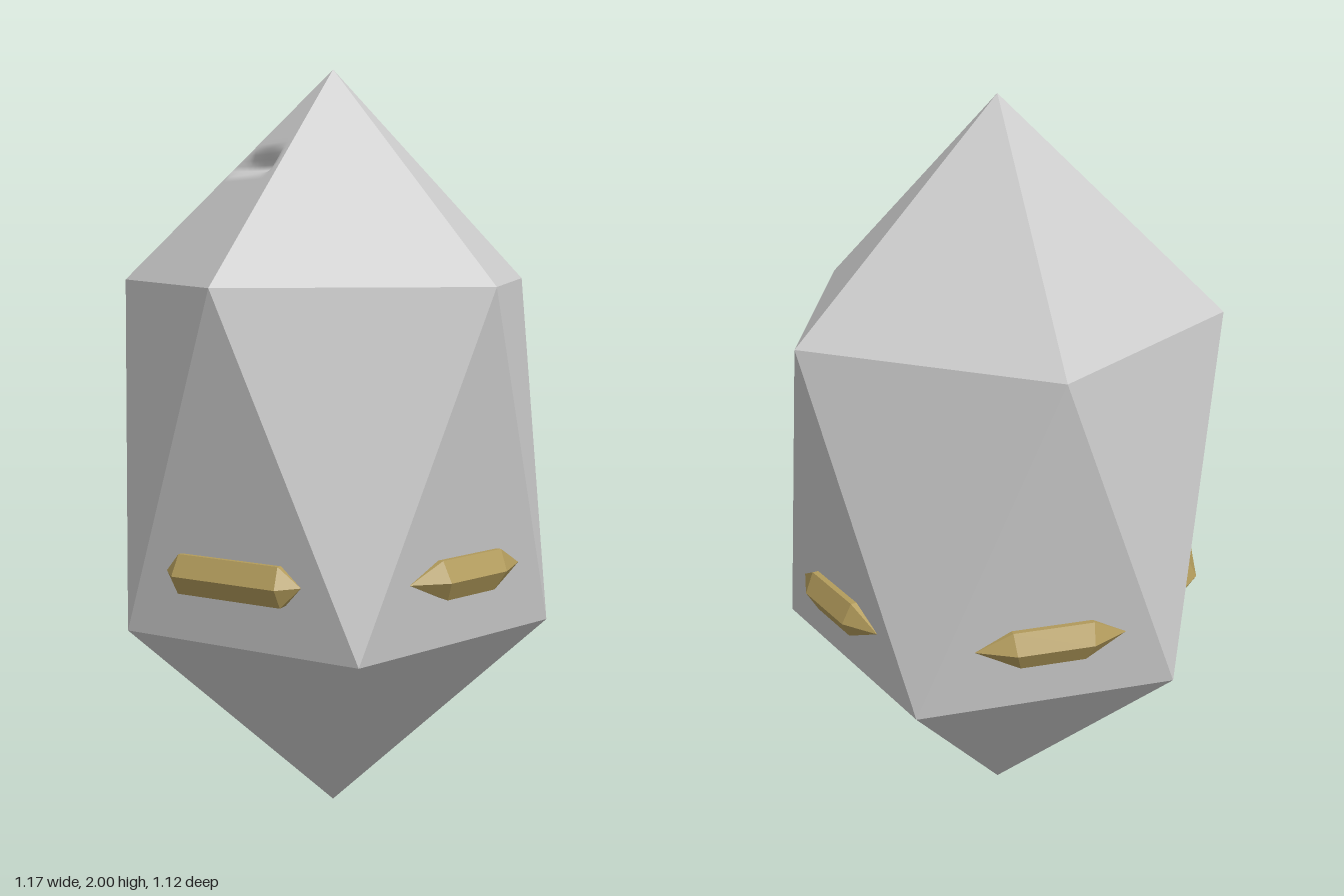
import * as THREE from 'three';
import { ConvexGeometry } from 'three/addons/geometries/ConvexGeometry.js';

const R = 0.583, TOP = 1.45, LOW = 0.555, STEP = Math.PI * 2 / 5;
const ringPoint = (angle, y) => new THREE.Vector3(R * Math.cos(angle), y, R * Math.sin(angle));

// Stretched icosahedron: two staggered pentagons and two tips, without the notched face
function shellGeometry() {
  const tip = new THREE.Vector3(0, 2, 0), foot = new THREE.Vector3(0, 0.005, 0);
  const points = [];
  const face = (a, b, c) => {
    const normal = b.clone().sub(a).cross(c.clone().sub(a));
    const out = a.clone().add(b).add(c).divideScalar(3).sub(new THREE.Vector3(0, 1, 0));
    points.push(...(normal.dot(out) > 0 ? [a, b, c] : [a, c, b]));
  };
  for (let i = 0; i < 5; i++) {
    const a = i * STEP;
    const u0 = ringPoint(a, TOP), u1 = ringPoint(a + STEP, TOP);
    const l0 = ringPoint(a - STEP / 2, LOW), l1 = ringPoint(a + STEP / 2, LOW);
    if (i !== 1) face(tip, u0, u1);
    face(u0, l0, l1);
    face(u0, u1, l1);
    face(l0, l1, foot);
  }
  const geometry = new THREE.BufferGeometry().setFromPoints(points);
  geometry.computeVertexNormals();
  return geometry;
}

// Upper front face, smoothly sunk inward above a sharp horizontal lip
function notchedFaceGeometry() {
  const rows = 40, lipRow = 20, depth = 0.06;
  const tip = new THREE.Vector3(0, 2, 0);
  const left = ringPoint(2 * STEP, TOP), right = ringPoint(STEP, TOP);
  const inward = new THREE.Vector3(-Math.cos(1.5 * STEP), 0, -Math.sin(1.5 * STEP));
  const points = [], index = [];
  for (let i = 0; i <= rows; i++) {
    const a = tip.clone().lerp(left, i / rows), b = tip.clone().lerp(right, i / rows);
    for (let j = 0; j <= i; j++) {
      const u = i ? j / i : 0;
      const p = a.clone().lerp(b, u);
      if (i < lipRow) {
        const across = Math.pow(Math.sin(Math.PI * Math.min(u / 0.86, 1)), 0.6) || 0;
        p.addScaledVector(inward, depth * across * THREE.MathUtils.smoothstep(i, 14.5, 19));
      }
      points.push(p);
    }
  }
  const id = (i, j) => i * (i + 1) / 2 + j;
  for (let i = 0; i < rows; i++) {
    for (let j = 0; j <= i; j++) {
      index.push(id(i, j), id(i + 1, j), id(i + 1, j + 1));
      if (j < i) index.push(id(i, j), id(i + 1, j + 1), id(i, j + 1));
    }
  }
  const geometry = new THREE.BufferGeometry().setFromPoints(points);
  geometry.setIndex(index);
  geometry.computeVertexNormals();
  return geometry;
}

// Faceted shard lying along z, bulging towards +x
function shardGeometry(topHalf, bottomHalf, ridgeHalf) {
  const points = [];
  for (const s of [-1, 1]) {
    points.push(
      new THREE.Vector3(0.495, 0.737, s * 0.197),
      new THREE.Vector3(0.542, 0.735, s * ridgeHalf),
      new THREE.Vector3(0.517, 0.788, s * topHalf),
      new THREE.Vector3(0.48, 0.785, s * topHalf),
      new THREE.Vector3(0.515, 0.686, s * bottomHalf),
      new THREE.Vector3(0.47, 0.688, s * bottomHalf)
    );
  }
  return new ConvexGeometry(points);
}

export function createModel() {
  const model = new THREE.Group();
  model.name = 'crystalLantern';
  const stone = new THREE.MeshStandardMaterial({ color: 0xcccccc, flatShading: true });
  const smoothStone = new THREE.MeshStandardMaterial({ color: 0xcccccc, side: THREE.DoubleSide });
  const gold = new THREE.MeshStandardMaterial({ color: 0xb39c5c, flatShading: true });

  const body = new THREE.Mesh(shellGeometry(), stone);
  body.name = 'body';
  const notch = new THREE.Mesh(notchedFaceGeometry(), smoothStone);
  notch.name = 'notchedFace';
  model.add(body, notch);

  // One shard on each of the five upright band faces; the front one is blunter
  const slim = shardGeometry(0.105, 0.085, 0.1);
  const blunt = shardGeometry(0.145, 0.15, 0.15);
  for (let i = 0; i < 5; i++) {
    const shard = new THREE.Mesh(i === 1 ? blunt : slim, gold);
    shard.name = 'shard' + (i + 1);
    shard.rotation.y = -i * STEP;
    model.add(shard);
  }
  return model;
}
